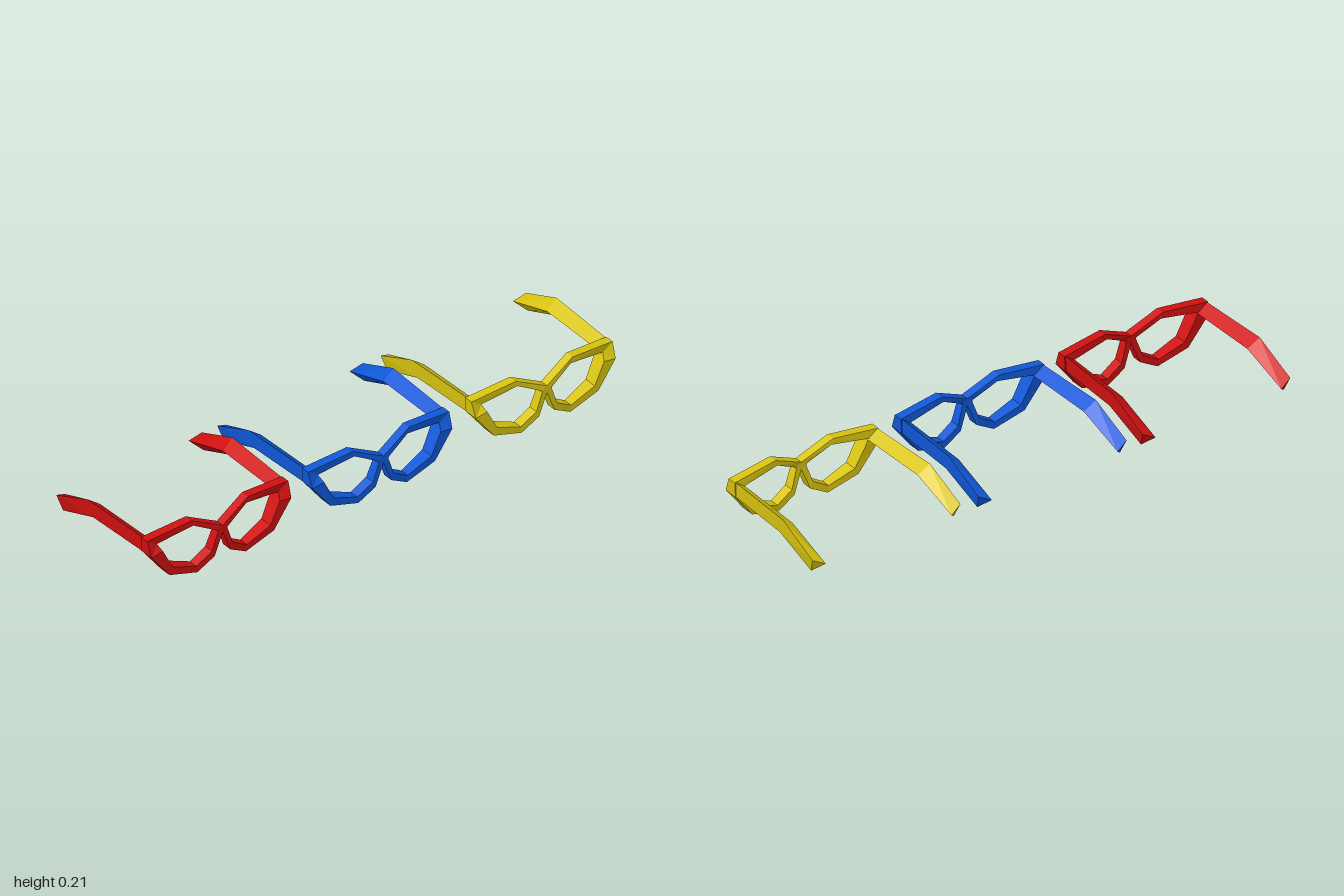
import * as THREE from 'three';

// Lofts cross-sections (arrays of [x, y, z]) into a faceted skin.
// closed joins the last section to the first, otherwise the triangular ends are capped.
function loft(sections, closed, mirror) {
  const pos = [];
  const tri = (a, b, c) => {
    for (const p of mirror ? [a, c, b] : [a, b, c]) pos.push(mirror ? -p[0] : p[0], p[1], p[2]);
  };
  const n = sections.length, m = sections[0].length;
  for (let i = 0; i < (closed ? n : n - 1); i++) {
    const s = sections[i], t = sections[(i + 1) % n];
    for (let j = 0; j < m; j++) {
      const k = (j + 1) % m;
      tri(s[j], t[j], t[k]);
      tri(s[j], t[k], s[k]);
    }
  }
  if (!closed) {
    const [a, b, c] = sections[0], [d, e, f] = sections[n - 1];
    tri(a, b, c);
    tri(d, f, e);
  }
  const geo = new THREE.BufferGeometry();
  geo.setAttribute('position', new THREE.Float32BufferAttribute(pos, 3));
  geo.computeVertexNormals();
  return geo;
}

// Rim stations: outer x, y, inner x, y, front z, back z
const RIM = [
  [0, 0.153, 0.021, 0.140, 0.268, 0.235],
  [0.120, 0.212, 0.113, 0.190, 0.252, 0.218],
  [0.300, 0.195, 0.258, 0.168, 0.240, 0.205],
  [0.297, 0.138, 0.248, 0.145, 0.261, 0.205],
  [0.222, 0.038, 0.207, 0.064, 0.263, 0.212],
  [0.103, 0.000, 0.107, 0.026, 0.262, 0.225],
  [0.033, 0.040, 0.044, 0.064, 0.267, 0.228],
  [0, 0.125, 0.021, 0.132, 0.268, 0.235],
];

// Temple sections: top outer edge, inner ridge, bottom outer edge
const TEMPLE = [
  [[0.295, 0.195, 0.225], [0.255, 0.165, 0.225], [0.293, 0.135, 0.225]],
  [[0.307, 0.195, -0.082], [0.261, 0.162, -0.075], [0.303, 0.134, -0.058]],
  [[0.309, 0.120, -0.255], [0.263, 0.098, -0.268], [0.298, 0.065, -0.232]],
];

function makeGlasses(name, color) {
  const glasses = new THREE.Group();
  glasses.name = name;
  const material = new THREE.MeshStandardMaterial({ color, flatShading: true });
  const rim = RIM.map(([ox, oy, ix, iy, f, b]) =>
    [[ox, oy, f], [ox, oy, b], [ix, iy, b], [ix, iy, f]]);
  for (const mirror of [false, true]) {
    const side = mirror ? 'right' : 'left';
    const rimMesh = new THREE.Mesh(loft(rim, true, mirror), material);
    rimMesh.name = side + 'Rim';
    const temple = new THREE.Mesh(loft(TEMPLE, false, mirror), material);
    temple.name = side + 'Temple';
    glasses.add(rimMesh, temple);
  }
  return glasses;
}

export function createModel() {
  const model = new THREE.Group();
  model.name = 'eyeglassesSet';
  // Three pairs in a row
  const pairs = [
    ['redGlasses', 0xd01010, -0.690],
    ['blueGlasses', 0x1058d8, -0.006],
    ['yellowGlasses', 0xd8c410, 0.688],
  ];
  for (const [name, color, x] of pairs) {
    const glasses = makeGlasses(name, color);
    glasses.position.x = x;
    model.add(glasses);
  }
  return model;
}
